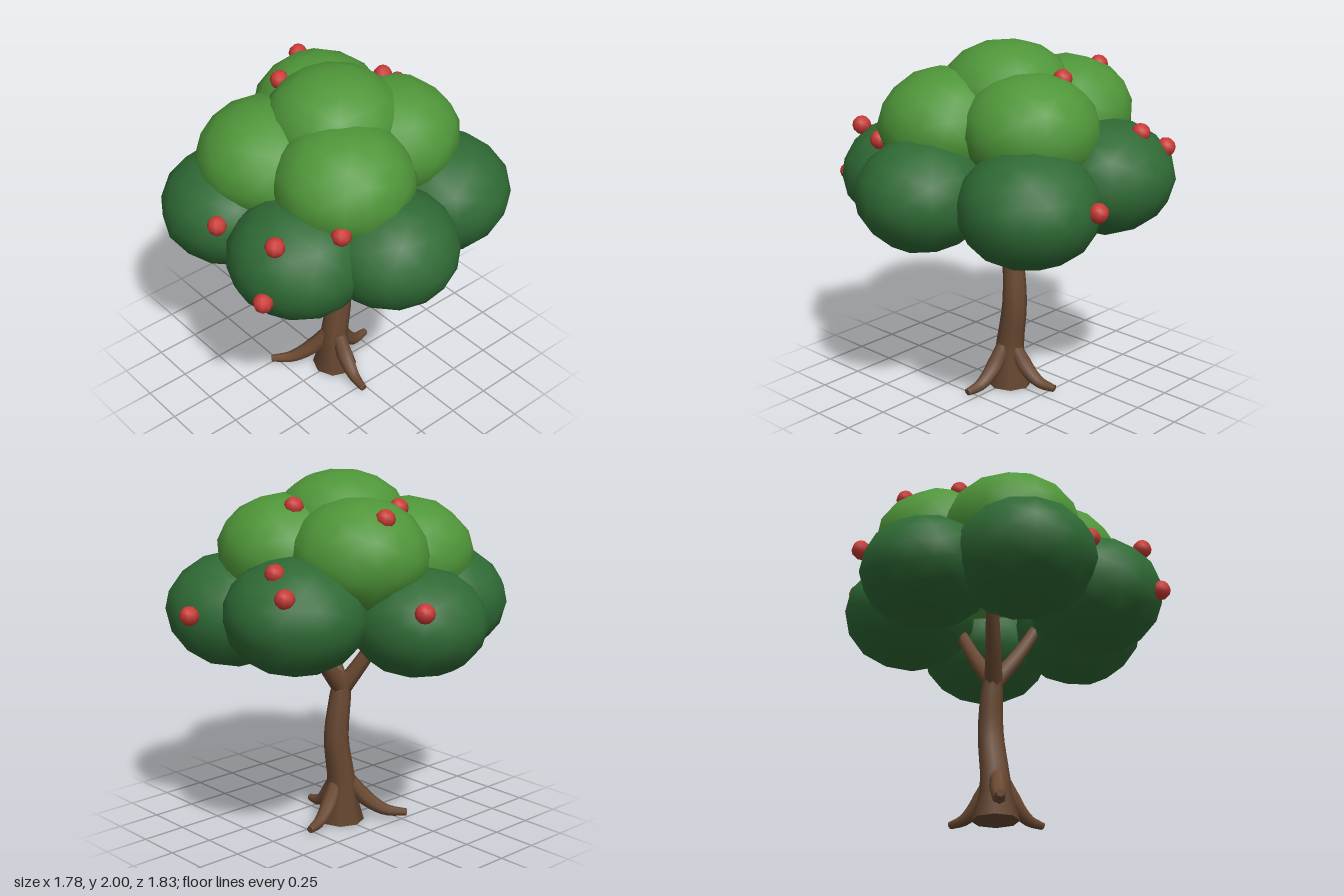
import * as THREE from 'three';
import { mergeVertices } from 'three/addons/utils/BufferGeometryUtils.js';

const material = (name, color) => {
  const m = new THREE.MeshStandardMaterial({ color });
  m.name = name;
  return m;
};

// Tapered, capped limb along a curve; radii are spread evenly from start to end
function limb(name, points, radii, mat, sides = 8) {
  const group = new THREE.Group();
  group.name = name;
  const curve = new THREE.CatmullRomCurve3(points.map(p => new THREE.Vector3(...p)));
  const steps = 12;
  const radiusAt = t => {
    const f = t * (radii.length - 1);
    const i = Math.min(Math.floor(f), radii.length - 2);
    return THREE.MathUtils.lerp(radii[i], radii[i + 1], f - i);
  };
  const geo = new THREE.TubeGeometry(curve, steps, 1, sides);
  const pos = geo.attributes.position;
  const v = new THREE.Vector3();
  for (let i = 0; i < pos.count; i++) {
    const t = Math.floor(i / (sides + 1)) / steps;
    const c = curve.getPointAt(t);
    v.fromBufferAttribute(pos, i).sub(c).multiplyScalar(radiusAt(t)).add(c);
    pos.setXYZ(i, v.x, v.y, v.z);
  }
  const skin = new THREE.Mesh(geo, mat);
  skin.name = name + 'Skin';
  group.add(skin);
  for (const t of [0, 1]) {
    const cap = new THREE.Mesh(new THREE.CircleGeometry(radiusAt(t), sides), mat);
    cap.name = name + 'End';
    cap.position.copy(curve.getPointAt(t));
    const dir = curve.getTangentAt(t).multiplyScalar(t ? 1 : -1);
    cap.quaternion.setFromUnitVectors(new THREE.Vector3(0, 0, 1), dir);
    group.add(cap);
  }
  return group;
}

// Coarse, slightly lumpy ball with smooth normals
function leafBall(seed) {
  let geo = new THREE.IcosahedronGeometry(1, 2);
  geo.deleteAttribute('uv');
  geo.deleteAttribute('normal');
  geo = mergeVertices(geo, 1e-3);
  geo.rotateY(seed * 1.3);
  const pos = geo.attributes.position;
  const v = new THREE.Vector3();
  for (let i = 0; i < pos.count; i++) {
    v.fromBufferAttribute(pos, i);
    const bump = Math.sin(v.x * 4 + seed) * Math.sin(v.y * 4 + seed * 2) * Math.sin(v.z * 4 + seed * 3);
    v.multiplyScalar(1 + 0.02 * bump);
    pos.setXYZ(i, v.x, v.y, v.z);
  }
  geo.computeVertexNormals();
  return geo;
}

export function createModel() {
  const tree = new THREE.Group();
  tree.name = 'appleTree';
  const bark = material('bark', 0x6b4a33);
  const darkLeaf = material('darkLeaf', 0x2f6a35);
  const lightLeaf = material('lightLeaf', 0x4f9639);
  const red = material('appleRed', 0xc93a36);

  // Trunk with flared foot and a gentle bend
  tree.add(limb('trunk',
    [[0, 0, -0.01], [0.0, 0.22, -0.012], [0.038, 0.5, -0.01], [0.02, 0.72, -0.02], [-0.005, 0.88, -0.02]],
    [0.13, 0.087, 0.077, 0.072, 0.067, 0.061, 0.045], bark));

  // Three forking branches
  const tips = [[0.36, 1.32, -0.03], [-0.22, 1.3, -0.25], [-0.08, 1.3, 0.32]];
  for (const [x, y, z] of tips) {
    tree.add(limb('branch',
      [[0.005, 0.78, -0.02], [x * 0.45, 0.99, z * 0.45 - 0.01], [x, y, z]],
      [0.052, 0.04, 0.03], bark, 7));
  }

  // Three roots spreading over the ground
  for (const [x, z] of [[0.292, -0.07], [-0.04, 0.3], [-0.29, -0.25]]) {
    tree.add(limb('root',
      [[x * 0.12, 0.24, z * 0.12], [x * 0.38, 0.12, z * 0.38],
        [x * 0.68, 0.045, z * 0.68], [x, 0.028, z]],
      [0.04, 0.048, 0.036, 0.021], bark, 7));
  }

  // Foliage: x, y, z, horizontal radius, vertical radius
  const lower = [
    [-0.10, 1.255, 0.55, 0.365, 0.307],
    [0.46, 1.25, 0.345, 0.378, 0.315],
    [0.505, 1.31, -0.21, 0.38, 0.31],
    [-0.045, 1.25, -0.555, 0.365, 0.29],
    [-0.495, 1.265, -0.27, 0.385, 0.31],
    [-0.48, 1.24, 0.28, 0.382, 0.315],
  ];
  const upper = [
    [-0.185, 1.56, 0.28, 0.375, 0.315],
    [0.275, 1.58, 0.13, 0.37, 0.31],
    [0.145, 1.59, -0.305, 0.37, 0.31],
    [-0.31, 1.53, -0.18, 0.385, 0.315],
    [-0.01, 1.725, 0.0, 0.365, 0.28],
  ];
  let seed = 0;
  const addFoliage = (list, mat, name) => {
    for (const [x, y, z, r, h] of list) {
      const ball = new THREE.Mesh(leafBall(++seed), mat);
      ball.name = name;
      ball.position.set(x, y, z);
      ball.scale.set(r, h, r);
      tree.add(ball);
    }
  };
  addFoliage(lower, darkLeaf, 'lowerFoliage');
  addFoliage(upper, lightLeaf, 'upperFoliage');

  // Apples
  const apple = new THREE.SphereGeometry(0.053, 8, 6);
  const apples = [
    [0.355, 1.84, -0.03], [-0.08, 1.825, -0.365], [0.185, 1.815, -0.535], [0.69, 1.565, -0.27],
    [0.75, 1.47, -0.415], [0.19, 1.38, -0.825], [0.84, 1.285, 0.25], [-0.735, 1.485, 0.41],
    [-0.835, 1.2, 0.43], [-0.43, 1.485, 0.55], [-0.76, 1.37, -0.04], [-0.08, 1.34, 0.03],
  ];
  for (const p of apples) {
    const fruit = new THREE.Mesh(apple, red);
    fruit.name = 'apple';
    fruit.position.set(...p);
    tree.add(fruit);
  }
  return tree;
}
